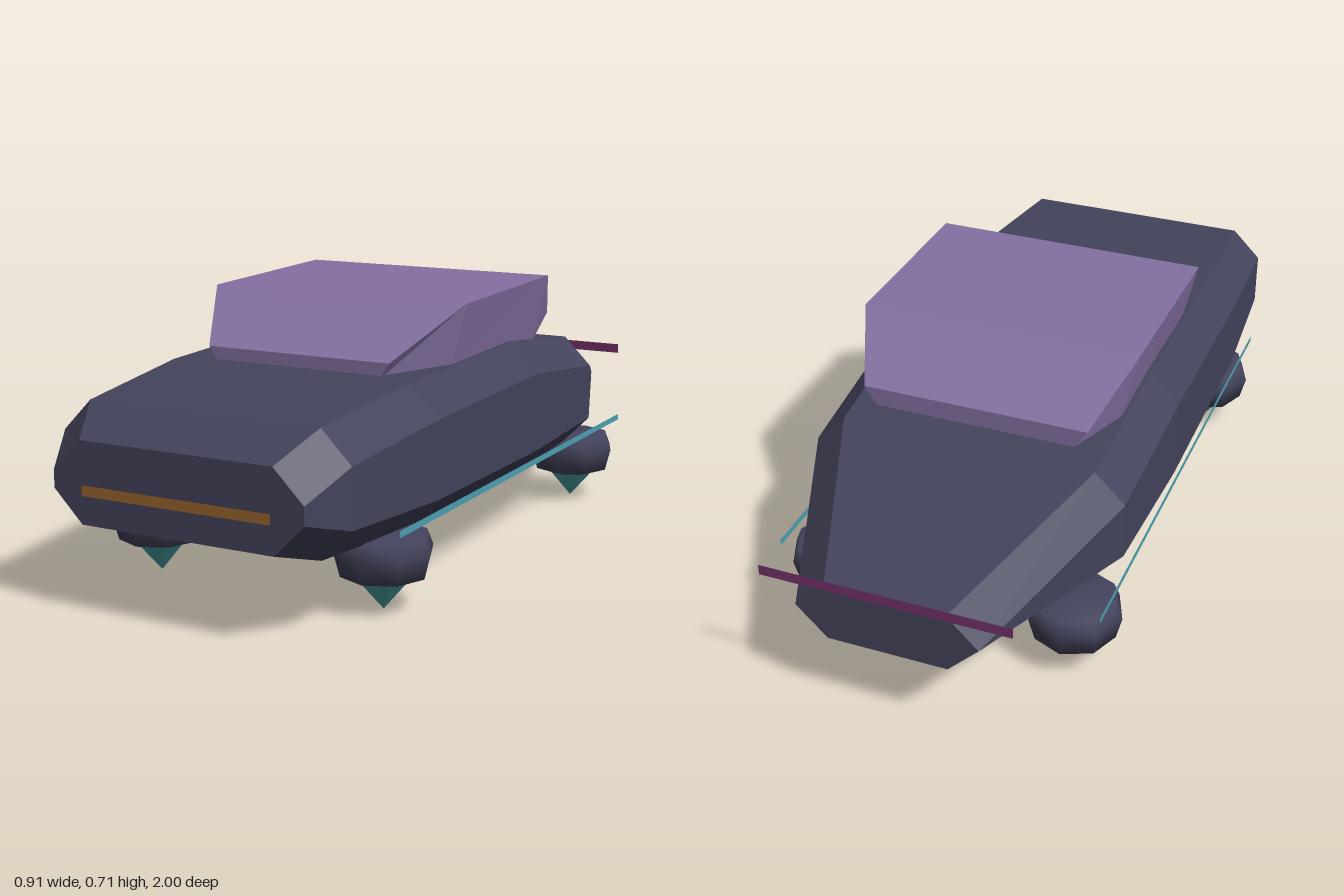
import * as THREE from 'three';

const mat = (name, color, extra = {}) =>
  Object.assign(new THREE.MeshStandardMaterial({ color, ...extra }), { name });

// Skin a list of rings (counter-clockwise seen from +z, ordered front to back) with flat faces and end caps
function loft(rings) {
  const pos = [];
  const tri = (...corners) => corners.forEach((p) => pos.push(...p));
  const n = rings[0].length;
  for (let s = 0; s < rings.length - 1; s++) {
    for (let i = 0; i < n; i++) {
      const j = (i + 1) % n, a = rings[s], b = rings[s + 1];
      tri(a[i], b[i], b[j]);
      tri(a[i], b[j], a[j]);
    }
  }
  const first = rings[0], last = rings[rings.length - 1];
  for (let i = 1; i < n - 1; i++) {
    tri(first[0], first[i], first[i + 1]);
    tri(last[0], last[i + 1], last[i]);
  }
  const g = new THREE.BufferGeometry();
  g.setAttribute('position', new THREE.Float32BufferAttribute(pos, 3));
  g.computeVertexNormals();
  return g;
}

export function createModel() {
  const group = new THREE.Group();
  const hullPaint = mat('hull slate', 0x43435c);
  const glass = mat('canopy violet', 0x8470a2);
  const thrust = mat('thruster teal', 0x48a0a2, { flatShading: true });
  const trim = mat('side strip teal', 0x4c9fb0, { side: THREE.DoubleSide });
  const headlight = mat('headlight orange', 0x9c6630, { side: THREE.DoubleSide });
  const taillight = mat('tail light magenta', 0x74306a, { side: THREE.DoubleSide });

  const add = (name, geometry, material, x = 0, y = 0, z = 0) => {
    const m = new THREE.Mesh(geometry, material);
    m.name = name;
    m.position.set(x, y, z);
    group.add(m);
    return m;
  };

  // Hull: chamfered octagonal sections, [z, half width, bottom, top]
  const c = 0.08;
  const hull = [
    [0.995, 0.345, 0.23, 0.435],
    [0.88, 0.4, 0.197, 0.505],
    [0.5, 0.425, 0.18, 0.54],
    [-0.09, 0.43, 0.178, 0.552],
    [-0.5, 0.42, 0.188, 0.504],
    [-0.995, 0.235, 0.225, 0.385],
  ].map(([z, w, b, t]) => [
    [w, b + c, z], [w, t - c, z], [w - c, t, z], [c - w, t, z],
    [-w, t - c, z], [-w, b + c, z], [c - w, b, z], [w - c, b, z],
  ]);
  add('hull', loft(hull), hullPaint);

  // Canopy: four-cornered sections that widen upward, [z, top half width, top]
  const canopy = [
    [0.455, 0.265, 0.574],
    [0.25, 0.375, 0.702],
    [-0.275, 0.375, 0.713],
    [-0.45, 0.302, 0.58],
  ].map(([z, w, t]) => {
    const b = w * 0.89, y = 0.53;
    return [[b, y, z], [w, t, z], [-w, t, z], [-b, y, z]];
  });
  add('canopy', loft(canopy), glass);

  // Hover pods with a pointed thruster beneath each
  const podProfile = [[0, 0.069], [0.05, 0.072], [0.11, 0.09], [0.126, 0.152], [0.11, 0.193], [0, 0.193]]
    .map(([r, y]) => new THREE.Vector2(r, y));
  const podShape = new THREE.LatheGeometry(podProfile, 8);
  const coneShape = new THREE.ConeGeometry(0.085, 0.1, 8).rotateX(Math.PI);
  for (const x of [-0.328, 0.328]) {
    for (const z of [-0.6, 0.6]) {
      const label = (z > 0 ? 'front' : 'rear') + (x > 0 ? 'Left' : 'Right');
      add(label + 'HoverPod', podShape, hullPaint, x, 0, z);
      add(label + 'Thruster', coneShape, thrust, x, 0.05, z);
    }
  }

  // Light strips along both sides, nose and tail
  for (const side of [-1, 1]) {
    const strip = add(side > 0 ? 'leftSideStrip' : 'rightSideStrip',
      new THREE.PlaneGeometry(1.43, 0.017), trim, side * 0.433, 0.231, 0);
    strip.rotation.y = side * Math.PI / 2;
  }
  add('headlightStrip', new THREE.PlaneGeometry(0.52, 0.026), headlight, 0, 0.315, 1);
  add('tailLightStrip', new THREE.PlaneGeometry(0.645, 0.028), taillight, 0, 0.388, -1).rotation.y = Math.PI;

  return group;
}
